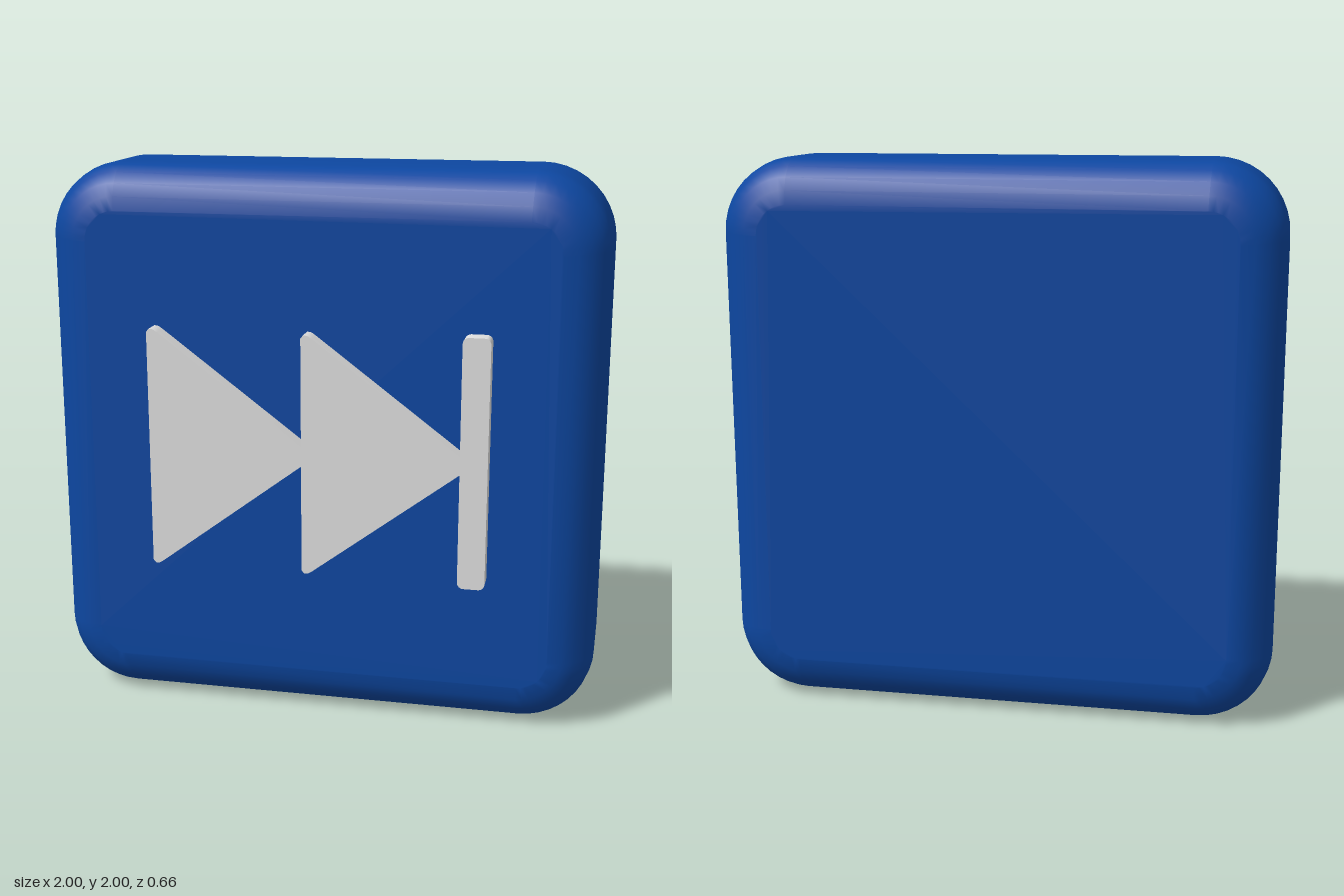
import * as THREE from 'three';
import { mergeVertices, toCreasedNormals } from 'three/addons/utils/BufferGeometryUtils.js';

// Rounded rectangle outline
function roundedRect(x0, y0, x1, y1, r) {
  const s = new THREE.Shape();
  s.absarc(x1 - r, y1 - r, r, 0, Math.PI / 2);
  s.absarc(x0 + r, y1 - r, r, Math.PI / 2, Math.PI);
  s.absarc(x0 + r, y0 + r, r, Math.PI, Math.PI * 1.5);
  s.absarc(x1 - r, y0 + r, r, Math.PI * 1.5, Math.PI * 2);
  s.closePath();
  return s;
}

// Right-pointing arrow with softened corners, left edge at x
function arrowShape(x) {
  const half = [
    [0.565, 0.03], [0.04, 0.425], [0.025, 0.435], [0.01, 0.437], [0, 0.425],
  ];
  const lower = half.map(([px, py]) => [px, -py]).reverse();
  return new THREE.Shape([...half, ...lower].map(([px, py]) => new THREE.Vector2(x + px, 1.003 + py)));
}

export function createModel() {
  const group = new THREE.Group();
  const blue = new THREE.MeshStandardMaterial({ color: 0x0d47a1 });
  blue.name = 'deep blue';
  const grey = new THREE.MeshStandardMaterial({ color: 0xe0e0e0 });
  grey.name = 'light grey';

  const add = (name, geometry, material) => {
    const mesh = new THREE.Mesh(geometry, material);
    mesh.name = name;
    group.add(mesh);
  };

  // Thick pillow-edged button: the bevel rounds front and back
  const bevel = 0.16, back = -0.33, front = 0.265;
  let body = new THREE.ExtrudeGeometry(roundedRect(-1 + bevel, bevel, 1 - bevel, 2 - bevel, 0.11), {
    depth: front - back - 2 * bevel,
    bevelEnabled: true,
    bevelThickness: bevel,
    bevelSize: bevel,
    bevelSegments: 5,
    curveSegments: 5,
  });
  body.translate(0, 0, back + bevel);
  body.deleteAttribute('normal');
  body.deleteAttribute('uv');
  body = mergeVertices(body, 1e-4);
  body.computeVertexNormals();
  add('buttonBody', body, blue);

  // Raised symbol: two arrows and a bar
  const raised = (shape) => {
    const g = new THREE.ExtrudeGeometry(shape, { depth: 0.075, bevelEnabled: false, curveSegments: 3 });
    g.translate(0, 0, 0.255);
    return toCreasedNormals(g, Math.PI / 5);
  };
  add('leftArrow', raised(arrowShape(-0.6)), grey);
  add('rightArrow', raised(arrowShape(-0.043)), grey);
  add('endBar', raised(roundedRect(0.518, 0.553, 0.615, 1.455, 0.022)), grey);

  return group;
}
